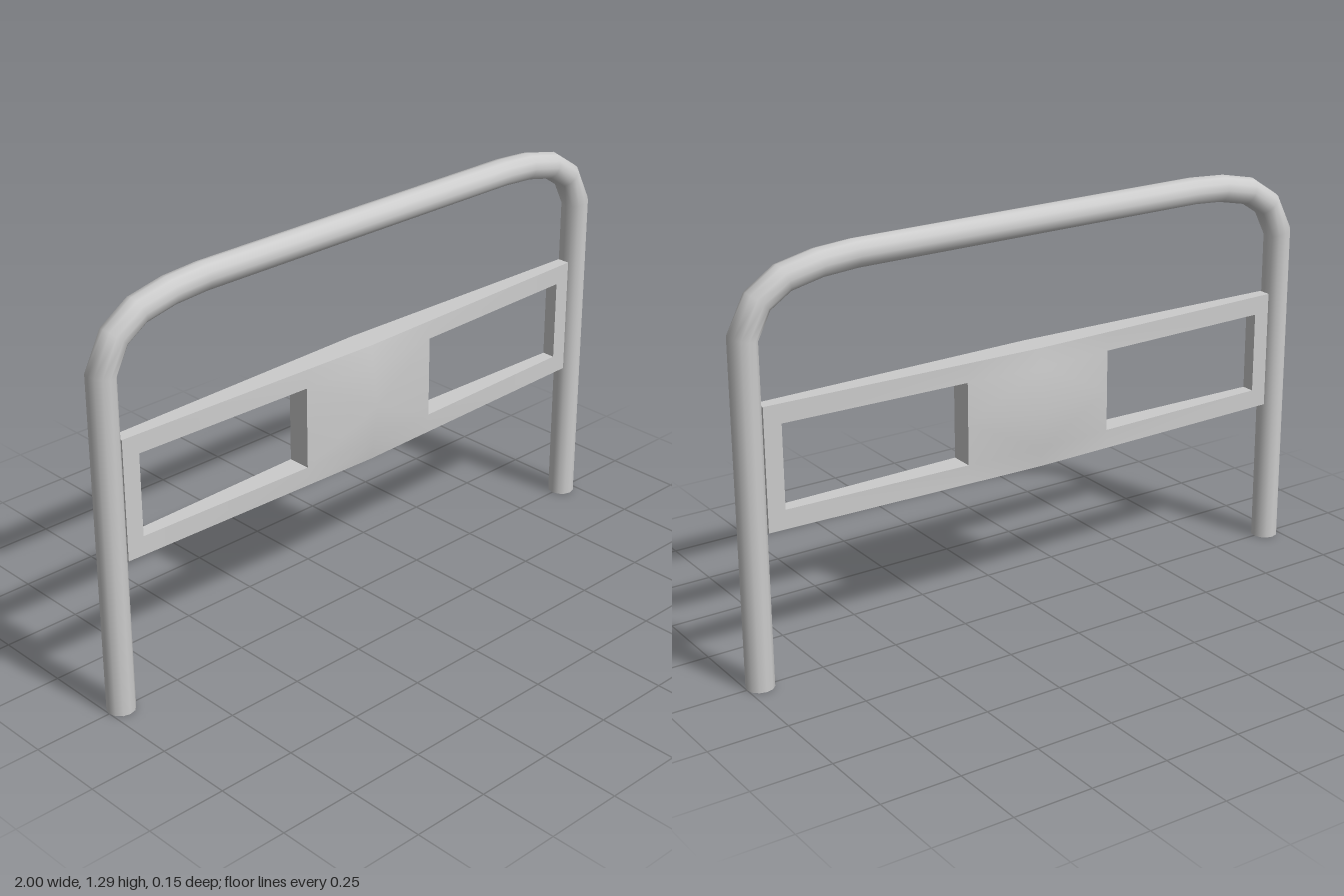
import * as THREE from 'three';
import { toCreasedNormals } from 'three/addons/utils/BufferGeometryUtils.js';

function buildGeometry(positions, index) {
  const g = new THREE.BufferGeometry();
  g.setAttribute('position', new THREE.Float32BufferAttribute(positions, 3));
  if (index) g.setIndex(index);
  g.computeVertexNormals();
  return g;
}

// Round pipe swept with mitred rings along a path in the xy plane, open at both ends
function pipeGeometry(path, radius, sides) {
  const pos = [], index = [];
  path.forEach((p, i) => {
    const before = p.clone().sub(path[Math.max(i - 1, 0)]).normalize();
    const after = path[Math.min(i + 1, path.length - 1)].clone().sub(p).normalize();
    const t = before.clone().add(after).normalize();
    const mitre = radius / Math.max(t.dot(before), t.dot(after));
    for (let j = 0; j < sides; j++) {
      const a = (j / sides) * Math.PI * 2;
      const c = Math.cos(a) * mitre;
      pos.push(p.x + t.y * c, p.y - t.x * c, Math.sin(a) * radius);
      if (i < path.length - 1) {
        const k = i * sides + j, n = i * sides + (j + 1) % sides;
        index.push(k, k + sides, n, n, k + sides, n + sides);
      }
    }
  });
  return buildGeometry(pos, index);
}

// Panel with two windows, tapering to its ends and swelling to a point at the middle
function panelGeometry() {
  const xs = [-0.915, -0.86, -0.255, 0, 0.255, 0.86, 0.915];
  const ys = [0.48, 0.54, 0.67, 0.8, 0.86];
  const cols = xs.length - 1, rows = ys.length - 1;
  const depth = (i, j) => 0.044 - 0.026 * Math.abs(xs[i])
    + (xs[i] === 0 ? 0.03 * (1 - Math.abs(ys[j] - 0.67) / 0.19) : 0);
  const solid = (i, j) => i >= 0 && j >= 0 && i < cols && j < rows
    && !((i === 1 || i === 4) && (j === 1 || j === 2));
  const pos = [];
  const v = (i, j, side) => [xs[i], ys[j], side * depth(i, j)];
  const quad = (a, b, c, d) => pos.push(...a, ...b, ...c, ...a, ...c, ...d);
  // Wall between front and back, counter-clockwise around its cell
  const wall = (i, j, k, l) => quad(v(i, j, 1), v(i, j, -1), v(k, l, -1), v(k, l, 1));

  for (let i = 0; i < cols; i++) for (let j = 0; j < rows; j++) {
    if (!solid(i, j)) continue;
    for (const s of [1, -1]) {
      const c = [v(i, j, s), v(i + 1, j, s), v(i + 1, j + 1, s), v(i, j + 1, s)];
      // Turn the diagonal so that the swelling is mirrored about the middle
      if ((xs[i] < 0) !== (ys[j] < 0.67)) c.push(c.shift());
      if (s < 0) c.reverse();
      quad(...c);
    }
    if (!solid(i, j - 1)) wall(i, j, i + 1, j);
    if (!solid(i + 1, j)) wall(i + 1, j, i + 1, j + 1);
    if (!solid(i, j + 1)) wall(i + 1, j + 1, i, j + 1);
    if (!solid(i - 1, j)) wall(i, j + 1, i, j);
  }
  return toCreasedNormals(buildGeometry(pos), 0.6);
}

export function createModel() {
  const group = new THREE.Group();
  group.name = 'barrier';
  const metal = new THREE.MeshStandardMaterial({ color: 0xcccccc, side: THREE.DoubleSide });
  metal.name = 'light grey metal';

  // Bent pipe: left half of the path mirrored to the right
  const half = [[0.957, 0], [0.957, 1.06], [0.907, 1.158], [0.826, 1.211], [0.715, 1.235], [0.6, 1.243]];
  const path = [
    ...half.map(([x, y]) => new THREE.Vector2(-x, y)),
    ...half.map(([x, y]) => new THREE.Vector2(x, y)).reverse(),
  ];
  const pipe = new THREE.Mesh(pipeGeometry(path, 0.043, 12), metal);
  pipe.name = 'bentPipeFrame';

  const panel = new THREE.Mesh(panelGeometry(), metal);
  panel.name = 'windowedPanel';

  group.add(pipe, panel);
  return group;
}
